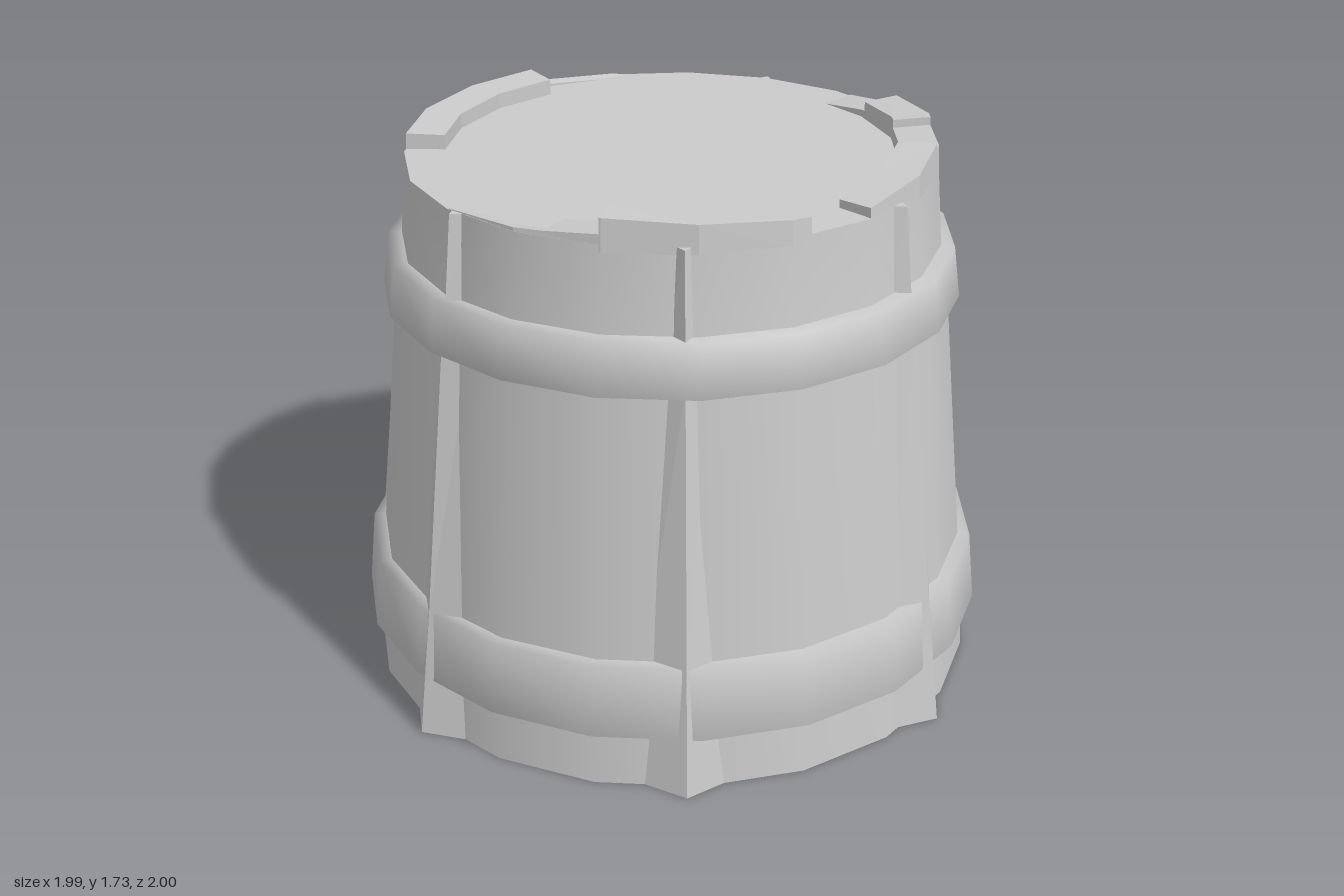
import * as THREE from 'three';

const SIDES = 19, STEP = (Math.PI * 2) / SIDES, RIBS = 7;
const grey = new THREE.MeshStandardMaterial({ color: 0xcccccc });
const facet = new THREE.MeshStandardMaterial({ color: 0xcccccc, flatShading: true });

function add(parent, name, geometry, material) {
  const mesh = new THREE.Mesh(geometry, material);
  mesh.name = name;
  parent.add(mesh);
  return mesh;
}

// Ring of 19 sides with a corner at the back
const ring = (profile) =>
  new THREE.LatheGeometry(profile.map(([r, y]) => new THREE.Vector2(r, y)), SIDES, Math.PI);

// Closed solid through equal loops, each counter-clockwise about the sweep direction
function loft(loops) {
  const pos = [], n = loops[0].length, last = loops.length - 1;
  const tri = (...pts) => pts.forEach((p) => pos.push(...p));
  for (let i = 0; i < last; i++) {
    for (let j = 0; j < n; j++) {
      const k = (j + 1) % n;
      tri(loops[i][j], loops[i][k], loops[i + 1][k]);
      tri(loops[i][j], loops[i + 1][k], loops[i + 1][j]);
    }
  }
  for (let j = 1; j < n - 1; j++) {
    tri(loops[0][0], loops[0][j + 1], loops[0][j]);
    tri(loops[last][0], loops[last][j], loops[last][j + 1]);
  }
  const g = new THREE.BufferGeometry();
  g.setAttribute('position', new THREE.Float32BufferAttribute(pos, 3));
  g.computeVertexNormals();
  return g;
}

// Wedge-shaped rib: each row is [height, ridge radius, base radius, half width]
const rib = (rows) =>
  loft(rows.map(([y, ridge, base, w]) => [[-w, y, base], [0, y, ridge], [w, y, base]]));

// Broken piece of rim: angles in degrees from the back towards +x
function rimChunk(from, to, yFrom, yTo, inner = 0.69) {
  const a0 = THREE.MathUtils.degToRad(from), a1 = THREE.MathUtils.degToRad(to);
  const angles = [a0];
  for (let k = Math.floor(a0 / STEP) + 1; k * STEP < a1; k++) angles.push(k * STEP);
  angles.push(a1);
  return loft(angles.map((a) => {
    const edge = Math.cos(STEP / 2) / Math.cos((a % STEP) - STEP / 2);
    const y = yFrom + ((yTo - yFrom) * (a - a0)) / (a1 - a0);
    const at = (r, h) => [r * edge * Math.sin(a), h, -r * edge * Math.cos(a)];
    return [at(0.812, 1.62), at(0.808, y), at(inner, y - 0.005), at(inner, 1.62)];
  }));
}

export function createModel() {
  const model = new THREE.Group();
  const tower = new THREE.Group();
  tower.name = 'tower';
  tower.position.z = 0.02;
  model.add(tower);

  // Tapered wall with flat ends
  add(tower, 'lowerWall', ring([[0.963, 0], [0.933, 0.4], [0.857, 1.24]]), grey);
  add(tower, 'upperWall', ring([[0.857, 1.24], [0.83, 1.39], [0.81, 1.65]]), grey);
  const top = add(tower, 'topSurface', new THREE.CircleGeometry(0.81, SIDES, Math.PI / 2), facet);
  top.rotation.x = -Math.PI / 2;
  top.position.y = 1.65;
  const base = add(tower, 'underside', new THREE.CircleGeometry(0.963, SIDES, -Math.PI / 2), facet);
  base.rotation.x = Math.PI / 2;
  // turn the underside so its corner meets the wall corner at the back

  // Two hoops around the wall
  add(tower, 'lowerHoop', ring([[0.93, 0.185], [0.992, 0.18], [0.97, 0.405], [0.91, 0.41]]), grey);
  add(tower, 'upperHoop', ring([[0.84, 1.235], [0.893, 1.23], [0.872, 1.39], [0.81, 1.395]]), grey);

  // Seven ribs, tall below the upper hoop and short above it
  const tall = rib([[0, 1.02, 0.93, 0.14], [0.18, 0.998, 0.917, 0.125],
    [0.4, 0.97, 0.9, 0.12], [1.26, 0.877, 0.825, 0.07]]);
  const short = rib([[1.37, 0.858, 0.8, 0.05], [1.65, 0.83, 0.785, 0.034]]);
  for (let i = 0; i < RIBS; i++) {
    const turn = Math.PI + (i * Math.PI * 2) / RIBS;
    add(tower, 'lowerRib', tall, facet).rotation.y = turn;
    add(tower, 'upperRib', short, facet).rotation.y = turn;
  }

  // Uneven rim pieces: [from, to, start height, end height]
  const rim = new THREE.Group();
  rim.name = 'brokenRim';
  tower.add(rim);
  [
    [24, 40, 1.655, 1.68], [40, 60, 1.71, 1.725], [60, 78, 1.7, 1.71], [78, 113, 1.725, 1.68],
    [128, 171, 1.7, 1.728], [171, 183, 1.68, 1.665], [183, 208, 1.665, 1.652, 0.77],
    [248, 302, 1.7, 1.705], [302, 325, 1.665, 1.652, 0.77],
  ].forEach((c) => add(rim, 'rimPiece', rimChunk(...c), facet));

  return model;
}
